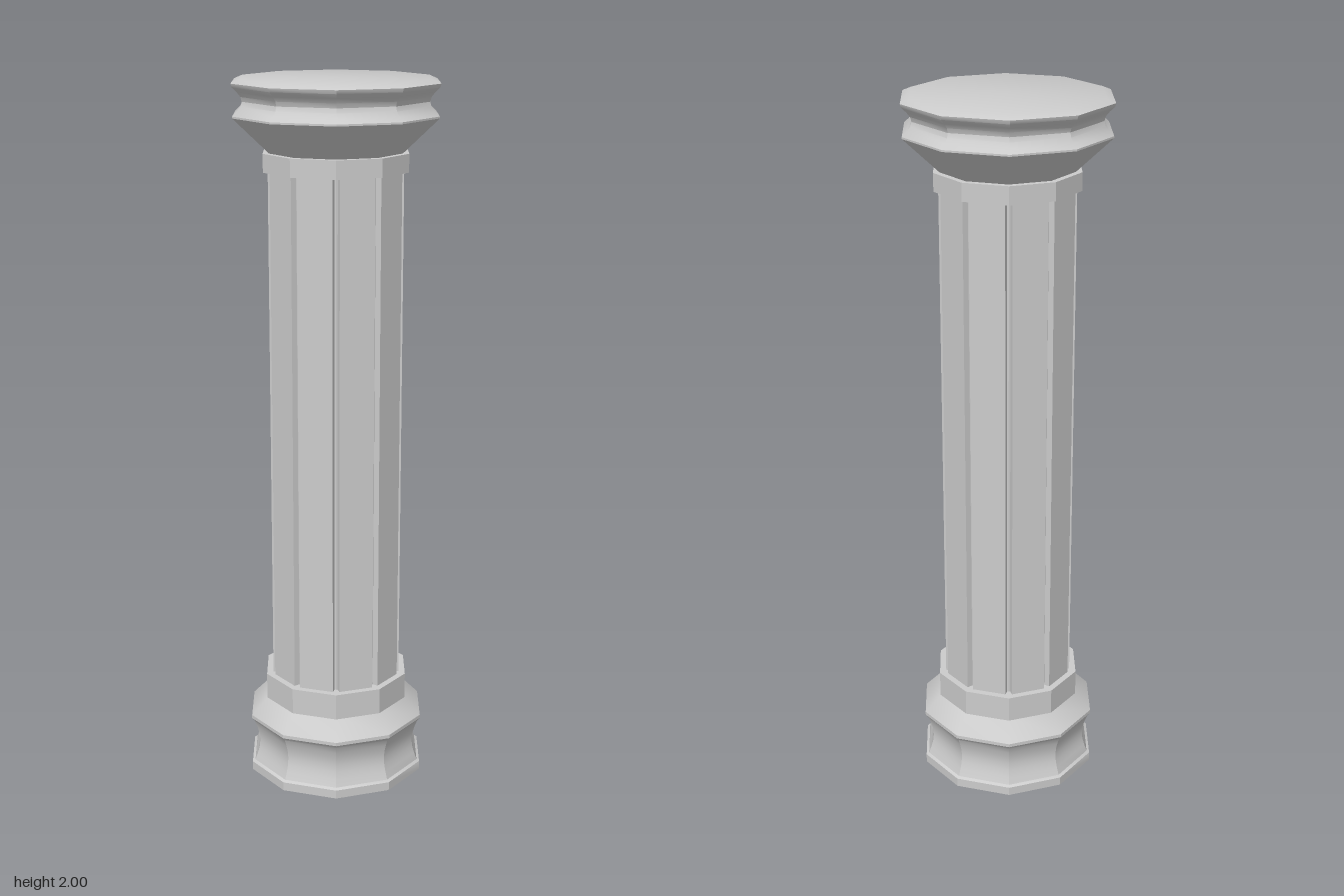
import * as THREE from 'three';
import { toCreasedNormals } from 'three/addons/utils/BufferGeometryUtils.js';

const SIDES = 10;
const material = new THREE.MeshStandardMaterial({ color: 0xcccccc });

// Ten-sided turned piece from [radius, height] points, bottom to top, with a corner on +x.
function turned(name, profile) {
  const points = profile.map(([r, y]) => new THREE.Vector2(r, y));
  const geometry = new THREE.LatheGeometry(points, SIDES, Math.PI / 2);
  const mesh = new THREE.Mesh(toCreasedNormals(geometry, Math.PI / 6), material);
  mesh.name = name;
  return mesh;
}

// Concave moulding: points curving inward between two heights.
function hollow(rim, depth, y0, y1, steps = 6) {
  return Array.from({ length: steps + 1 }, (_, i) => {
    const t = i / steps;
    return [rim - depth * Math.sin(Math.PI * t), y0 + (y1 - y0) * t];
  });
}

// Ten flat panels standing proud of a core, with a narrow groove at each corner.
function shaft(radius, core, groove, y0, y1) {
  const shape = new THREE.Shape();
  const step = (Math.PI * 2) / SIDES;
  const apothem = radius * Math.cos(step / 2);
  const coreApothem = core * Math.cos(step / 2);
  const half = radius * Math.sin(step / 2) - groove;
  for (let i = 0; i < SIDES; i++) {
    const a = (i + 0.5) * step;
    const put = (d, s) => {
      const x = d * Math.cos(a) - s * Math.sin(a);
      const y = d * Math.sin(a) + s * Math.cos(a);
      if (shape.curves.length === 0 && i === 0 && s === -half && d === coreApothem) shape.moveTo(x, y);
      else shape.lineTo(x, y);
    };
    put(coreApothem, -half);
    put(apothem, -half);
    put(apothem, half);
    put(coreApothem, half);
    put(coreApothem, core * Math.sin(step / 2));
  }
  shape.closePath();
  const geometry = new THREE.ExtrudeGeometry(shape, { depth: y1 - y0, bevelEnabled: false });
  geometry.rotateX(-Math.PI / 2).translate(0, y0, 0);
  const mesh = new THREE.Mesh(geometry, material);
  mesh.name = 'flutedShaft';
  return mesh;
}

export function createModel() {
  const column = new THREE.Group();
  column.name = 'column';

  // Foot with a hollow moulding and a sloping shoulder
  column.add(turned('base', [
    [0, 0], [0.258, 0], [0.258, 0.025],
    ...hollow(0.25, 0.016, 0.03, 0.155),
    [0.258, 0.165], [0.258, 0.175], [0.205, 0.23], [0, 0.23],
  ]));

  // Collars at each end of the shaft
  column.add(turned('lowerCollar', [[0, 0.225], [0.211, 0.225], [0.211, 0.3], [0, 0.3]]));
  column.add(shaft(0.192, 0.174, 0.01, 0.29, 1.765));
  column.add(turned('upperCollar', [[0, 1.755], [0.205, 1.755], [0.205, 1.805], [0, 1.805]]));

  // Flared capital with a hollow rim and chamfered top
  column.add(turned('capital', [
    [0, 1.8], [0.182, 1.8], [0.287, 1.9],
    ...hollow(0.287, 0.027, 1.905, 1.98),
    [0.29, 1.99], [0.266, 2], [0, 2],
  ]));

  return column;
}
